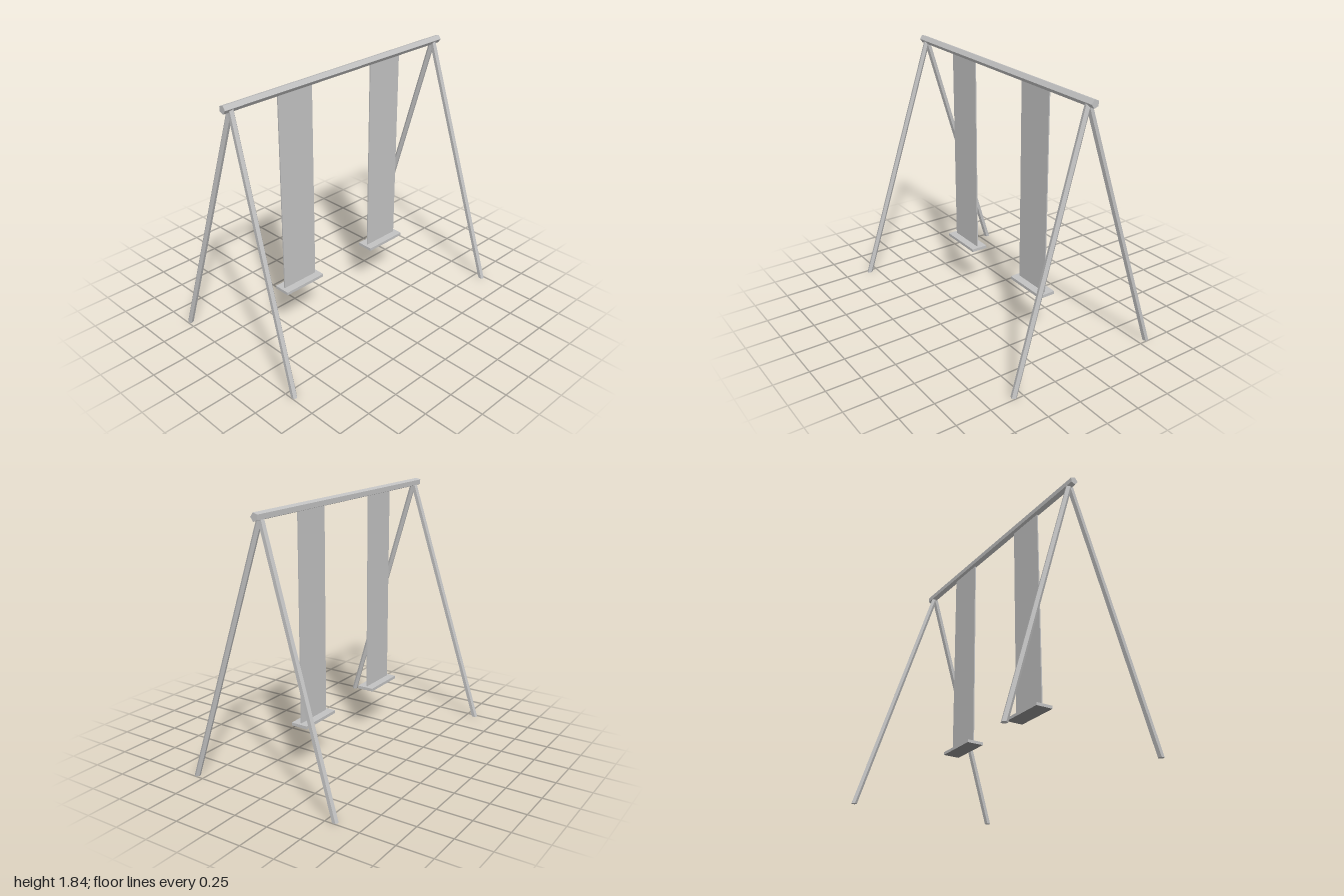
import * as THREE from 'three';

export function createModel() {
  const model = new THREE.Group();
  model.name = 'swingSet';

  function flat(name, color) {
    const material = new THREE.MeshStandardMaterial({ color });
    material.name = name;
    material.flatShading = true;
    return material;
  }
  const grey = flat('grey', 0xc1c1c1);
  const darkGrey = flat('darkGrey', 0x8a8a8a);

  function add(name, geometry, x, y, z, material = grey) {
    const mesh = new THREE.Mesh(geometry, material);
    mesh.name = name;
    mesh.position.set(x, y, z);
    model.add(mesh);
    return mesh;
  }

  // five-sided leg, slanted by a shear so that its foot lies flat on the ground
  function leg(name, foot, top, height, turn) {
    const geometry = new THREE.CylinderGeometry(0.0215, 0.0215, height, 5, 1, false, turn);
    geometry.translate(0, height / 2, 0);
    const p = geometry.attributes.position;
    for (let i = 0; i < p.count; i++) {
      const t = p.getY(i) / height;
      p.setX(i, p.getX(i) + t * (top[0] - foot[0]));
      p.setZ(i, p.getZ(i) + t * (top[1] - foot[1]));
    }
    add(name, geometry, foot[0], 0, foot[1]);
  }

  // five-sided top beam
  add('topBeam', new THREE.CylinderGeometry(0.029, 0.029, 1.954, 5), 0, 1.808, -0.002)
    .rotation.z = Math.PI / 2;

  // seat boards are dark on the underside only
  const seatMaterials = [grey, grey, grey, darkGrey, grey, grey];

  for (const [side, s] of [['left', 1], ['right', -1]]) {
    // splayed legs
    leg(side + 'FrontLeg', [s * 0.979, 0.562], [s * 0.919, 0], 1.805, Math.PI / 2);
    leg(side + 'BackLeg', [s * 0.979, -0.564], [s * 0.919, 0], 1.805, -Math.PI / 2);

    // swing: thin hanging sheet and seat board
    add(side + 'SwingHanger', new THREE.BoxGeometry(0.286, 1.44, 0.008), s * 0.412, 1.07, -0.001);
    add(side + 'SwingSeat', new THREE.BoxGeometry(0.336, 0.021, 0.122), s * 0.412, 0.351, -0.002, seatMaterials);
  }
  return model;
}
